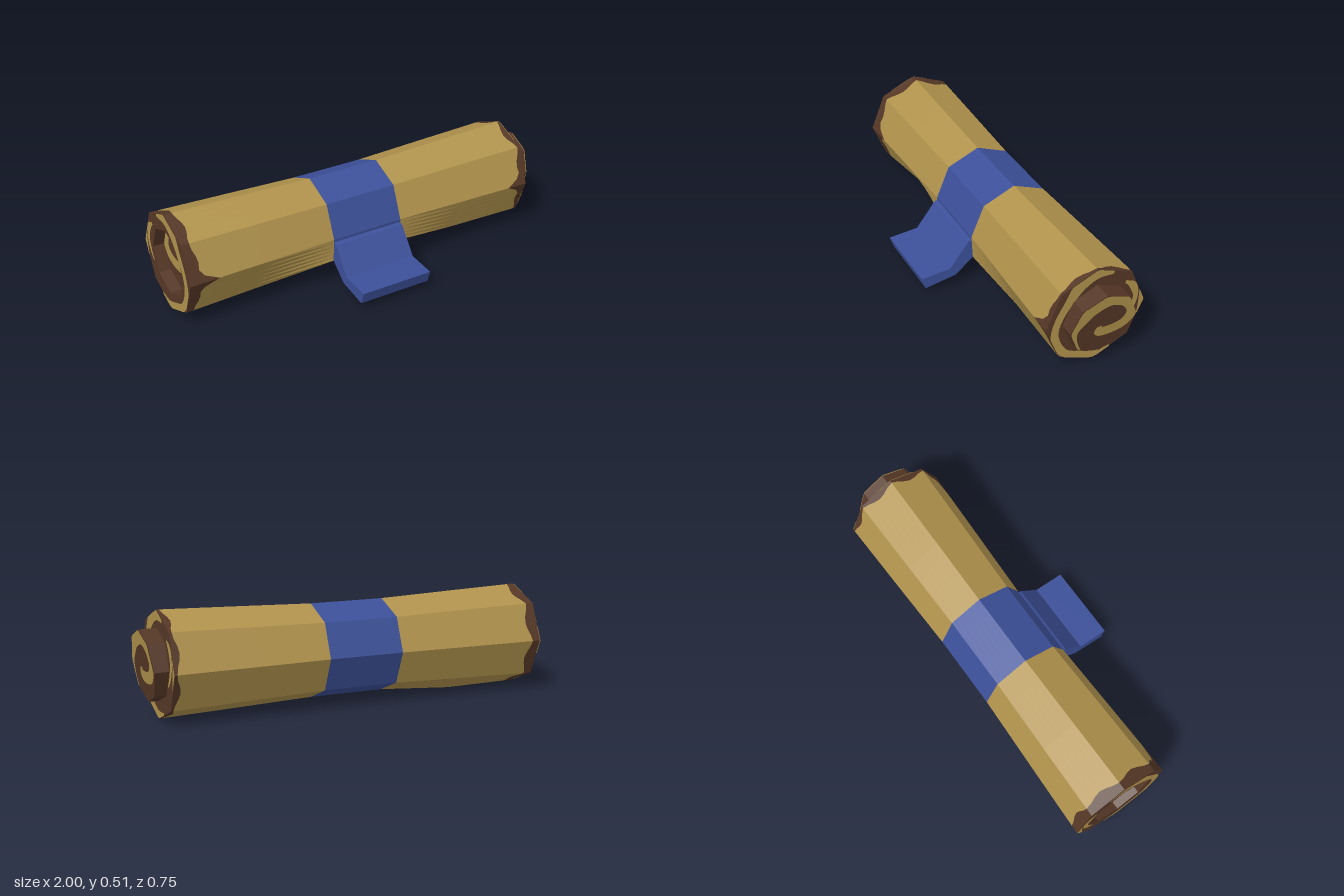
import * as THREE from 'three';

const CY = 0.262, CZ = -0.122, CORE_R = 0.17, END_R = 0.255, SUB = 6, N = 8 * SUB;
const X0 = -1, X1 = 0.91, BAND0 = -0.235, BAND1 = 0.145;

// Corner k of an eight-sided ring, counted from the top towards the front; returns [y, z]
const corner = (r, k) => [CY + r * Math.cos(k * Math.PI / 4), CZ + r * Math.sin(k * Math.PI / 4)];

// Cross-sections of the roll; some lower corners are pulled out of shape
const stations = [
  { x: X0, r: END_R },
  { x: -0.62, r: 0.243, moved: { 3: [0.028, -0.035], 4: [0.004, CZ] } },
  { x: BAND0, r: 0.23, moved: { 3: [0.14, 0.1] } },
  { x: BAND1, r: 0.23, moved: { 3: [0.14, 0.1] } },
  { x: 0.5, r: 0.242, moved: { 3: [0.09, 0.055] } },
  { x: X1, r: END_R },
];

function ringPoint(s, t) {
  const k = Math.floor(t) % 8, f = t - Math.floor(t);
  const at = (i) => (s.moved && s.moved[i]) || corner(s.r, i);
  const a = at(k), b = at((k + 1) % 8);
  return [a[0] + (b[0] - a[0]) * f, a[1] + (b[1] - a[1]) * f];
}

// Point on the roll surface at any x
function rollPoint(x, t) {
  let i = 0;
  while (i < stations.length - 2 && x > stations[i + 1].x) i++;
  const a = stations[i], b = stations[i + 1], f = (x - a.x) / (b.x - a.x);
  const p = ringPoint(a, t), q = ringPoint(b, t);
  return [x, p[0] + (q[0] - p[0]) * f, p[1] + (q[1] - p[1]) * f];
}

// Flat-faced strip between two point functions of the step index
function strip(a, b, n) {
  const pos = [];
  for (let i = 0; i < n; i++) {
    const p = a(i), q = a(i + 1), r = b(i + 1), s = b(i);
    pos.push(...p, ...q, ...r, ...p, ...r, ...s);
  }
  const g = new THREE.BufferGeometry();
  g.setAttribute('position', new THREE.Float32BufferAttribute(pos, 3));
  g.computeVertexNormals();
  return g;
}

// Radius of an octagon in the direction (u, v) from its centre
function octRadius(R, u, v) {
  const step = Math.PI / 4, a = Math.atan2(u, v) + 4 * Math.PI;
  return R * Math.cos(step / 2) / Math.cos((a % step) - step / 2);
}

// Painted stroke on an end face: points are [-z, y, half width], kept between two octagons
function stroke(points, xAt, rMin, rMax) {
  const curve = new THREE.CatmullRomCurve3(points.map((p) => new THREE.Vector3(...p)));
  const n = 56;
  const edge = (side) => (i) => {
    const p = curve.getPoint(i / n), d = curve.getTangent(i / n), l = Math.hypot(d.x, d.y) || 1;
    let u = p.x - side * d.y / l * p.z + CZ, v = p.y + side * d.x / l * p.z - CY;
    const len = Math.hypot(u, v) || 1e-6;
    const lo = rMin ? octRadius(rMin, u, v) : 0, hi = octRadius(rMax, u, v);
    const k = Math.min(Math.max(len, lo), hi) / len;
    u *= k; v *= k;
    return [xAt(CY + v), CY + v, CZ - u];
  };
  return strip(edge(1), edge(-1), n);
}

const SPIRAL = [[0.1, 0.255, 0.012], [0.1, 0.225, 0.025], [0.16, 0.215, 0.028], [0.235, 0.235, 0.03],
  [0.268, 0.295, 0.032], [0.235, 0.365, 0.036], [0.15, 0.402, 0.036], [0.05, 0.372, 0.036],
  [-0.005, 0.32, 0.034], [-0.028, 0.26, 0.016], [-0.02, 0.2, 0.012], [0.01, 0.145, 0.004]];
const RIM_STROKES = [
  [[0.205, 0.475, 0.008], [0.12, 0.493, 0.025], [0.04, 0.465, 0.035], [-0.02, 0.385, 0.024],
    [-0.07, 0.3, 0.02], [-0.088, 0.23, 0.02], [-0.075, 0.16, 0.022], [-0.03, 0.095, 0.02],
    [0.04, 0.06, 0.02], [0.13, 0.03, 0.018], [0.21, 0.045, 0.008]],
  [[0.27, 0.4, 0.006], [0.31, 0.365, 0.018], [0.33, 0.3, 0.014], [0.315, 0.24, 0.012], [0.285, 0.19, 0.006]],
  [[0.352, 0.33, 0.003], [0.364, 0.262, 0.016], [0.345, 0.19, 0.003]],
];

export function createModel() {
  const group = new THREE.Group();
  const material = (name, color, side = THREE.FrontSide) =>
    new THREE.MeshStandardMaterial({ name, color, side });
  const paper = material('agedPaper', 0xb0924c, THREE.DoubleSide);
  const brown = material('darkEdge', 0x553726, THREE.DoubleSide);
  const blue = material('blueRibbon', 0x3c5099);
  const add = (name, geometry, mat) => {
    const mesh = new THREE.Mesh(geometry, mat);
    mesh.name = name;
    group.add(mesh);
  };

  // Roll surface between two lengthwise limits (numbers or functions of the step)
  const shell = (a, b) => {
    const pt = (lim) => (i) => rollPoint(typeof lim === 'function' ? lim(i % N) : lim, (i % N) / SUB);
    return strip(pt(a), pt(b), N);
  };
  // Width of the worn edge, with a notch along the front corner
  const worn = (i, base, notch) => {
    const d = Math.abs(i - 2 * SUB);
    const wave = 0.012 * (1 - Math.cos(2 * Math.PI * i / SUB));
    return d === 0 ? notch : d === 1 ? base + 0.04 : base + wave;
  };
  const leftEdge = (i) => X0 + worn(i, 0.04, 0.15);
  const rightEdge = (i) => X1 - worn(i, 0.012, 0.11);

  add('wornEdgeRight', shell(X0, leftEdge), brown);
  add('paperRollRightEnd', shell(leftEdge, -0.62), paper);
  add('paperRollRight', shell(-0.62, BAND0), paper);
  add('ribbonBand', shell(BAND0, BAND1), blue);
  add('paperRollLeft', shell(BAND1, 0.5), paper);
  add('paperRollLeftEnd', shell(0.5, rightEdge), paper);
  add('wornEdgeLeft', shell(rightEdge, X1), brown);

  // Loose ribbon end, bent forward from the band
  const tail = new THREE.Shape([[0.1, 0.25], [0.125, 0.24], [0.225, 0.11], [0.378, 0.1], [0.358, 0.038],
    [0.195, 0.063], [0.1, 0.14]].map(([z, y]) => new THREE.Vector2(-z, y)));
  const tailGeo = new THREE.ExtrudeGeometry(tail, { depth: BAND1 - BAND0, bevelEnabled: false });
  tailGeo.rotateY(Math.PI / 2).translate(BAND0, 0, 0);
  add('ribbonTail', tailGeo, blue);

  // Both ends: rim, core wall and core face; the core stands out on the left and is sunk on the right
  const ends = [
    { side: 'Left', x: X1, dir: 1, core: (y) => 0.978 + (y - CY) * 0.11 },
    { side: 'Right', x: X0, dir: -1, core: () => -0.94 },
  ];
  for (const { side, x, dir, core } of ends) {
    const ring = (r, xAt) => (i) => {
      const [y, z] = corner(r, i % 8);
      return [xAt(y), y, z];
    };
    const flat = () => x;
    const outer = ring(END_R, flat), inner = ring(CORE_R, flat), tip = ring(CORE_R, core);
    const center = () => [core(CY), CY, CZ];
    const facing = (a, b) => (dir > 0 ? strip(a, b, 8) : strip(b, a, 8));
    add('rim' + side, facing(outer, inner), brown);
    add('coreWall' + side, facing(inner, tip), brown);
    add('coreFace' + side, facing(tip, center), brown);
    add('coreSpiral' + side, stroke(SPIRAL, (y) => core(y) + dir * 0.004, 0, CORE_R), paper);
    for (const points of RIM_STROKES) {
      add('rimStroke' + side, stroke(points, () => x + dir * 0.003, CORE_R, END_R), paper);
    }
  }
  return group;
}
